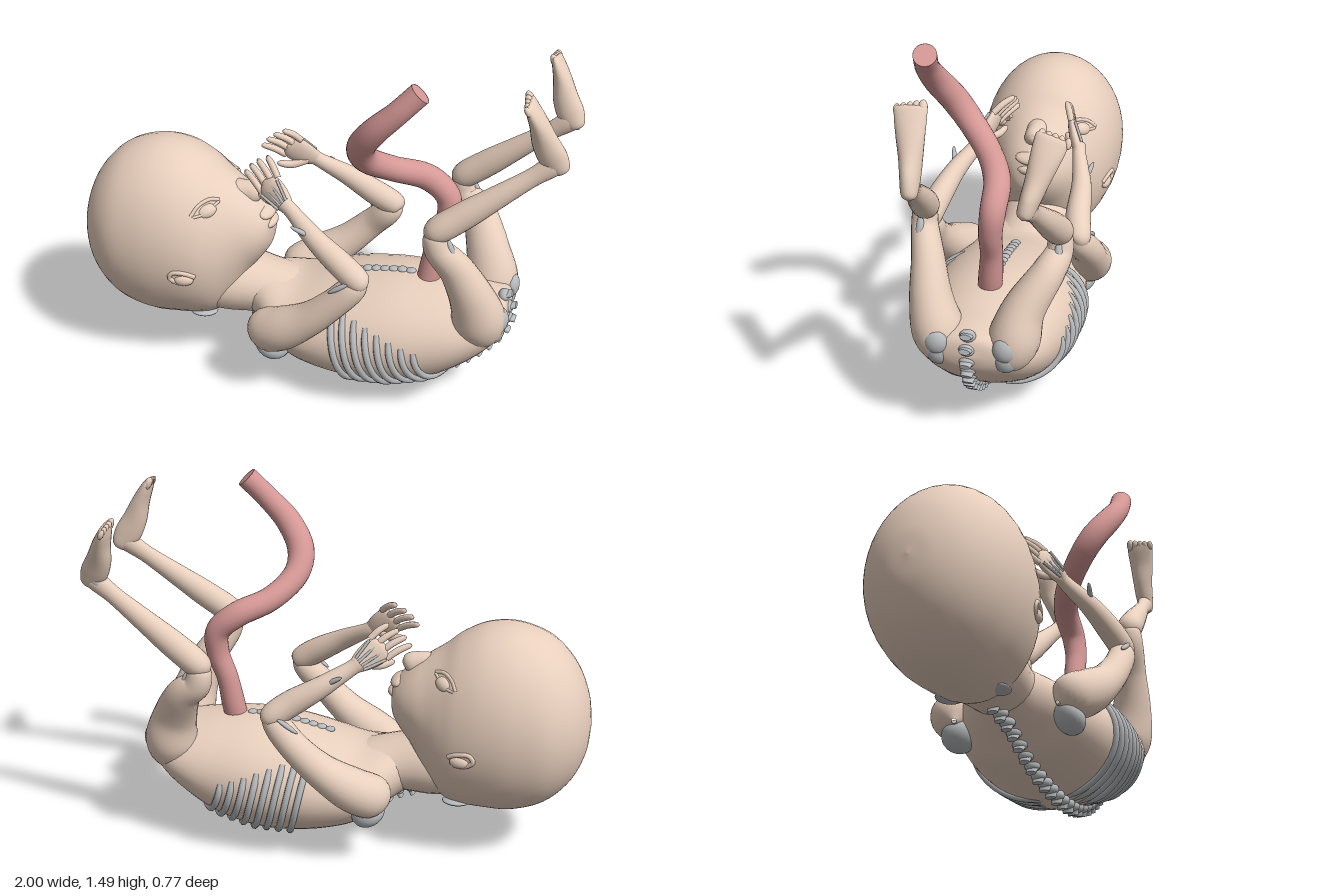
import * as THREE from 'three';

const skin = new THREE.MeshStandardMaterial({ color: 0xe8cfbd });
const cordMat = new THREE.MeshStandardMaterial({ color: 0xd59896, side: THREE.DoubleSide });
const bone = new THREE.MeshStandardMaterial({ color: 0xb8bbbd });
const V = (a) => new THREE.Vector3(a[0], a[1], a[2]);

// Smooth body through sections [x, y, z, radius, side radius]; upright keeps sections facing x
function loft(name, secs, mat = skin, upright = false, sides = 24, per = 6) {
  const path = new THREE.CatmullRomCurve3(secs.map(V), false, 'catmullrom', 0.5);
  const radii = new THREE.CatmullRomCurve3(secs.map((s) => new THREE.Vector3(s[3], s[4] ?? s[3], 0)), false, 'catmullrom', 0.5);
  const n = (secs.length - 1) * per, pos = [], idx = [];
  for (let i = 0; i <= n; i++) {
    const c = path.getPoint(i / n), r = radii.getPoint(i / n);
    const t = upright ? new THREE.Vector3(1, 0, 0) : path.getTangent(i / n);
    const w = new THREE.Vector3(0, 0, 1).addScaledVector(t, -t.z).normalize();
    const u = new THREE.Vector3().crossVectors(w, t);
    for (let j = 0; j < sides; j++) {
      const a = (j / sides) * Math.PI * 2;
      const p = c.clone().addScaledVector(u, Math.cos(a) * Math.max(r.x, 0.0005)).addScaledVector(w, Math.sin(a) * Math.max(r.y, 0.0005));
      pos.push(p.x, p.y, p.z);
      if (i < n) {
        const k = i * sides + j, l = i * sides + (j + 1) % sides;
        idx.push(k, l, k + sides, l, l + sides, k + sides);
      }
    }
  }
  const g = new THREE.BufferGeometry();
  g.setAttribute('position', new THREE.Float32BufferAttribute(pos, 3));
  g.setIndex(idx);
  g.computeVertexNormals();
  const m = new THREE.Mesh(g, mat);
  m.name = name;
  return m;
}

function blob(name, p, s, mat = skin, rot = [0, 0, 0]) {
  const m = new THREE.Mesh(new THREE.SphereGeometry(1, 20, 14), mat);
  m.position.set(...p);
  m.scale.set(...s);
  m.rotation.set(...rot);
  m.name = name;
  return m;
}

function tube(name, pts, r, mat) {
  const m = new THREE.Mesh(new THREE.TubeGeometry(new THREE.CatmullRomCurve3(pts.map(V)), 20, r, 8), mat);
  m.name = name;
  return m;
}

// Profiles along x: [x, bottom, top, half width]
const section = ([x, lo, hi, w]) => [x, (lo + hi) / 2, 0, (hi - lo) / 2, w];
const headProfile = [[-1, 0.58, 0.581, 0.001], [-0.985, 0.46, 0.7, 0.1], [-0.93, 0.34, 0.83, 0.2], [-0.83, 0.245, 0.935, 0.275],
  [-0.7, 0.2, 0.985, 0.3], [-0.58, 0.2, 0.98, 0.295], [-0.48, 0.21, 0.935, 0.272], [-0.41, 0.24, 0.88, 0.24],
  [-0.35, 0.32, 0.84, 0.2], [-0.29, 0.44, 0.8, 0.158], [-0.24, 0.51, 0.755, 0.118], [-0.205, 0.57, 0.71, 0.07], [-0.195, 0.64, 0.641, 0.001]];
const torsoProfile = [[-0.32, 0.28, 0.45, 0.11], [-0.25, 0.235, 0.452, 0.14], [-0.17, 0.18, 0.445, 0.21], [-0.07, 0.11, 0.44, 0.27], [0.06, 0.07, 0.475, 0.3],
  [0.2, 0.05, 0.51, 0.31], [0.35, 0.055, 0.53, 0.305], [0.5, 0.1, 0.525, 0.28], [0.62, 0.175, 0.51, 0.25],
  [0.72, 0.26, 0.5, 0.205], [0.78, 0.34, 0.48, 0.14], [0.8, 0.41, 0.411, 0.001]];

// Point on a profiled body at x, angle a above the side, raised by lift
function onBody(profile, x, a, side, lift) {
  const i = profile.findIndex((s) => s[0] > x), A = profile[i - 1], B = profile[i];
  const f = (x - A[0]) / (B[0] - A[0]);
  const [, lo, hi, w] = A.map((v, k) => v + (B[k] - v) * f);
  return [x, (lo + hi) / 2 + ((hi - lo) / 2 + lift) * Math.sin(a), side * (w + lift) * Math.cos(a)];
}

function makeHead() {
  const head = new THREE.Group();
  head.name = 'head';
  head.add(loft('skull', headProfile.map(section), skin, true, 40));
  head.add(loft('neck', [[-0.5, 0.38, 0, 0.13, 0.18], [-0.36, 0.37, 0, 0.135, 0.16], [-0.22, 0.355, 0, 0.115, 0.14], [-0.08, 0.32, 0, 0.11, 0.17]]));
  // nose rises from the brow to a rounded tip
  head.add(loft('nose', [[-0.44, 0.8, 0, 0.03, 0.07], [-0.37, 0.795, 0, 0.045, 0.055], [-0.31, 0.79, 0, 0.052, 0.045], [-0.27, 0.79, 0, 0.047, 0.042], [-0.25, 0.785, 0, 0.03, 0.028], [-0.24, 0.78, 0, 0.001]]));
  head.add(blob('upperLip', [-0.226, 0.72, 0], [0.038, 0.022, 0.07], skin, [0, 0, -0.4]));
  head.add(blob('lowerLip', [-0.216, 0.672, 0], [0.036, 0.024, 0.06]));
  head.add(blob('chin', [-0.245, 0.595, 0], [0.045, 0.05, 0.075]));
  for (const s of [1, -1]) {
    const face = (pts, lift) => pts.map(([x, a]) => onBody(headProfile, x, a, s, lift));
    head.add(tube('eyeSlit', face([[-0.465, 0.6], [-0.44, 0.66], [-0.41, 0.8], [-0.385, 0.95]], 0), 0.006, skin));
    head.add(tube('upperLid', face([[-0.475, 0.6], [-0.455, 0.76], [-0.42, 0.92], [-0.385, 0.98]], -0.002), 0.008, skin));
    head.add(blob('eyelid', face([[-0.428, 0.75]], -0.015)[0], [0.045, 0.03, 0.025], skin, [-s * 0.7, s * 0.3, 0.55]));
    head.add(tube('earRim', face([[-0.455, -0.16], [-0.49, -0.12], [-0.54, -0.13], [-0.555, -0.2], [-0.525, -0.26], [-0.48, -0.25]], 0.002), 0.01, skin));
    head.add(blob('earLobe', face([[-0.5, -0.22]], 0)[0], [0.04, 0.024, 0.018], skin, [0, s * 0.2, 0]));
    head.add(blob('skullBasePlate', [-0.48, 0.245, s * 0.1], [0.06, 0.014, 0.05], bone));
  }
  return head;
}

function makeArm(s, elbowZ, wristZ, tipZ) {
  const arm = new THREE.Group();
  arm.name = s > 0 ? 'leftArm' : 'rightArm';
  arm.add(loft('upperArm', [[-0.21, 0.27, s * 0.22, 0.01], [-0.17, 0.3, s * 0.245, 0.085, 0.08], [-0.08, 0.35, s * 0.285, 0.09], [0.04, 0.435, s * 0.31, 0.07, 0.073],
    [0.14, 0.53, s * 0.32, 0.06], [0.215, 0.61, s * elbowZ, 0.055], [0.25, 0.65, s * elbowZ, 0.035], [0.265, 0.67, s * elbowZ, 0.001]]));
  arm.add(loft('forearm', [[0.275, 0.625, s * elbowZ, 0.001], [0.25, 0.645, s * elbowZ, 0.045], [0.17, 0.7, s * (elbowZ - 0.02), 0.053, 0.05],
    [0.05, 0.775, s * (elbowZ + wristZ) / 2, 0.043, 0.04], [-0.06, 0.845, s * wristZ, 0.031, 0.028], [-0.1, 0.875, s * (wristZ - 0.01), 0.032, 0.025]]));
  // hand: palm, fingers and thumb
  const pz = wristZ - 0.03;
  arm.add(loft('palm', [[-0.07, 0.85, s * wristZ, 0.025, 0.022], [-0.12, 0.885, s * pz, 0.05, 0.022], [-0.17, 0.92, s * (pz - 0.02), 0.052, 0.02], [-0.19, 0.935, s * (pz - 0.03), 0.01, 0.01]]));
  const base = pz - 0.02;
  for (let i = 0; i < 4; i++) {
    const k = i - 1.5, bx = -0.165 + k * 0.022, by = 0.92 + k * 0.026;
    const ex = -0.25 + k * 0.03 + Math.abs(k) * 0.008, ey = 0.975 + k * 0.026 - Math.abs(k) * 0.005;
    arm.add(loft('finger', [[bx, by, s * base, 0.013], [(bx + ex) / 2, (by + ey) / 2 + 0.006, s * (base + tipZ) / 2, 0.014],
      [ex, ey, s * tipZ, 0.011], [ex - 0.008, ey + 0.004, s * tipZ, 0.001]], skin, false, 10, 4));
    arm.add(tube('handBone', [[-0.1 + k * 0.01, 0.872 + k * 0.016, s * (wristZ + 0.004)], [bx, by, s * (base + 0.016)]], 0.006, bone));
  }
  arm.add(loft('thumb', [[-0.11, 0.86, s * pz, 0.017], [-0.17, 0.845, s * (pz - 0.03), 0.016], [-0.215, 0.855, s * (pz - 0.05), 0.012], [-0.225, 0.86, s * (pz - 0.05), 0.001]], skin, false, 10, 4));
  arm.add(blob('elbowBone', [0.17, 0.63, s * (elbowZ + 0.036)], [0.05, 0.01, 0.012], bone, [0, 0, 0.6]));
  arm.add(blob('forearmBone', [0.0, 0.81, s * ((elbowZ + wristZ) / 2 + 0.018)], [0.05, 0.01, 0.01], bone, [0, s * 0.3, -0.55]));
  // flat plate lying on the back of the shoulder
  arm.add(blob('shoulderBlade', [-0.135, 0.232, s * 0.235], [0.075, 0.052, 0.068], bone, [s * 0.6, 0, -0.5]));
  return arm;
}

function makeLeg(s, knee, ankle, toe) {
  const leg = new THREE.Group();
  leg.name = s > 0 ? 'leftLeg' : 'rightLeg';
  const [kx, ky, kz] = knee, [ax, ay, az] = ankle, [tx, ty, tz] = toe;
  leg.add(loft('thigh', [[0.64, 0.33, s * 0.11, 0.02], [0.67, 0.37, s * 0.125, 0.085, 0.075], [0.692, 0.45, s * 0.148, 0.108, 0.1], [0.665, 0.57, s * 0.18, 0.09, 0.082],
    [0.605, 0.7, s * (kz - 0.03), 0.07, 0.064], [kx + 0.025, ky - 0.07, s * kz, 0.056, 0.052], [kx + 0.01, ky, s * kz, 0.043], [kx, ky + 0.04, s * kz, 0.001]]));
  const mix = (f) => [kx + (ax - kx) * f, ky + (ay - ky) * f, s * (kz + (az - kz) * f)];
  leg.add(loft('shin', [[kx - 0.025, ky - 0.03, s * kz, 0.001], [...mix(0.02), 0.05], [...mix(0.25), 0.055, 0.05], [...mix(0.5), 0.046, 0.042],
    [...mix(0.8), 0.036, 0.03], [...mix(1), 0.04, 0.03], [ax + 0.03, ay + 0.02, s * az, 0.001]]));
  // foot with heel and toes
  const foot = (f, d, r, w) => [ax + (tx - ax) * f + d, ay + (ty - ay) * f, s * (az + (tz - az) * f), r, w];
  leg.add(loft('foot', [foot(-0.14, 0.015, 0.001, 0.001), foot(-0.09, 0.012, 0.034, 0.026), foot(0.08, 0, 0.054, 0.035), foot(0.32, -0.006, 0.05, 0.042),
    foot(0.6, 0, 0.036, 0.052), foot(0.82, 0, 0.024, 0.059), foot(0.93, 0, 0.014, 0.056), foot(0.95, 0, 0.002, 0.03)]));
  for (let i = 0; i < 5; i++) {
    const f = i / 4, r = 0.017 - 0.005 * f;
    leg.add(blob('toe', [tx + 0.004 + 0.006 * f, ty - 0.022 - 0.012 * f, s * (tz - 0.044 + f * 0.092)], [r * 0.9, r * 1.7, r], skin, [0, 0, 0.45]));
  }
  leg.add(blob('ankleBone', [ax - 0.02, ay - 0.01, s * (az + 0.024)], [0.03, 0.014, 0.01], bone, [0, 0, 0.65]));
  leg.add(blob('kneeBone', [kx + 0.075, ky - 0.06, s * (kz + 0.005)], [0.014, 0.055, 0.016], bone, [0, 0, 0.35]));
  // hip bone: two joined lobes
  leg.add(blob('hipBoneUpper', [0.778, 0.45, s * 0.132], [0.032, 0.052, 0.046], bone));
  leg.add(blob('hipBoneLower', [0.762, 0.39, s * 0.13], [0.034, 0.056, 0.044], bone, [0, 0, -0.3]));
  return leg;
}

function makeSkeleton() {
  const g = new THREE.Group();
  g.name = 'skeleton';
  // ribs wrapped round the torso, sinking into the skin at both ends
  for (const s of [1, -1]) for (let i = 0; i < 8; i++) {
    const pts = [], top = 0.85 - i * 0.11, low = -1.42 + i * 0.03;
    for (let k = 0; k <= 10; k++) {
      const f = k / 10;
      pts.push(onBody(torsoProfile, 0.11 + i * 0.05 + 0.12 * f ** 1.4, top + (low - top) * f, s, 0.007 - 0.016 * Math.abs(2 * f - 1) ** 4));
    }
    g.add(tube('rib', pts, 0.014, bone));
  }
  // spine
  const spine = new THREE.CatmullRomCurve3([[-0.33, 0.25, 0.01], [-0.2, 0.2, 0.02], [-0.1, 0.13, 0.03], [0, 0.075, 0.04], [0.1, 0.05, 0.045], [0.22, 0.035, 0.045],
    [0.34, 0.045, 0.04], [0.48, 0.085, 0.03], [0.6, 0.155, 0.025], [0.7, 0.24, 0.02], [0.775, 0.34, 0.01], [0.795, 0.42, 0.01], [0.775, 0.49, 0.01]].map(V));
  for (let i = 0; i < 27; i++) {
    const p = spine.getPointAt(i / 26), t = spine.getTangentAt(i / 26);
    const v = new THREE.Group();
    v.name = 'vertebra';
    v.add(blob('vertebraBody', [0, 0.005, 0], [0.025, 0.024, 0.032], bone));
    const spur = new THREE.Mesh(new THREE.CylinderGeometry(0.014, 0.011, 0.036, 12), bone);
    spur.name = 'vertebraSpur';
    spur.position.set(0.003, -0.013, 0);
    spur.scale.z = 2;
    v.add(spur);
    v.position.copy(p);
    v.rotation.z = Math.atan2(t.y, t.x);
    g.add(v);
  }
  // breastbone
  for (let i = 0; i < 10; i++) g.add(blob('breastboneSegment', onBody(torsoProfile, 0.06 + i * 0.036, Math.PI / 2, 1, 0), [0.021, 0.011, 0.02], bone));
  return g;
}

function makeCord() {
  const cord = new THREE.Group();
  cord.name = 'cord';
  cord.add(loft('cordTube', [[0.45, 0.48, 0.01, 0.045], [0.465, 0.56, 0, 0.048], [0.485, 0.68, -0.01, 0.044], [0.52, 0.79, -0.015, 0.046], [0.515, 0.89, -0.025, 0.05],
    [0.43, 0.965, -0.02, 0.052], [0.31, 1.015, 0.04, 0.05], [0.225, 1.09, 0.13, 0.052], [0.215, 1.18, 0.2, 0.055],
    [0.275, 1.28, 0.25, 0.052], [0.36, 1.37, 0.26, 0.046], [0.445, 1.46, 0.243, 0.045]], cordMat));
  const end = new THREE.Mesh(new THREE.CircleGeometry(0.045, 24), cordMat);
  end.name = 'cordEnd';
  end.position.set(0.444, 1.459, 0.243);
  end.lookAt(0.529, 1.549, 0.226);
  cord.add(end);
  return cord;
}

export function createModel() {
  const model = new THREE.Group();
  model.name = 'unbornBaby';
  model.add(makeHead());
  model.add(loft('torso', torsoProfile.map(section), skin, true, 40));
  model.add(makeArm(1, 0.315, 0.19, 0.075), makeArm(-1, 0.3, 0.235, 0.155));
  model.add(makeLeg(1, [0.51, 0.87, 0.235], [0.945, 1.195, 0.155], [0.825, 1.465, 0.18]));
  model.add(makeLeg(-1, [0.515, 0.83, 0.285], [0.95, 1.17, 0.258], [0.855, 1.42, 0.33]));
  model.add(makeSkeleton());
  model.add(makeCord());
  return model;
}
